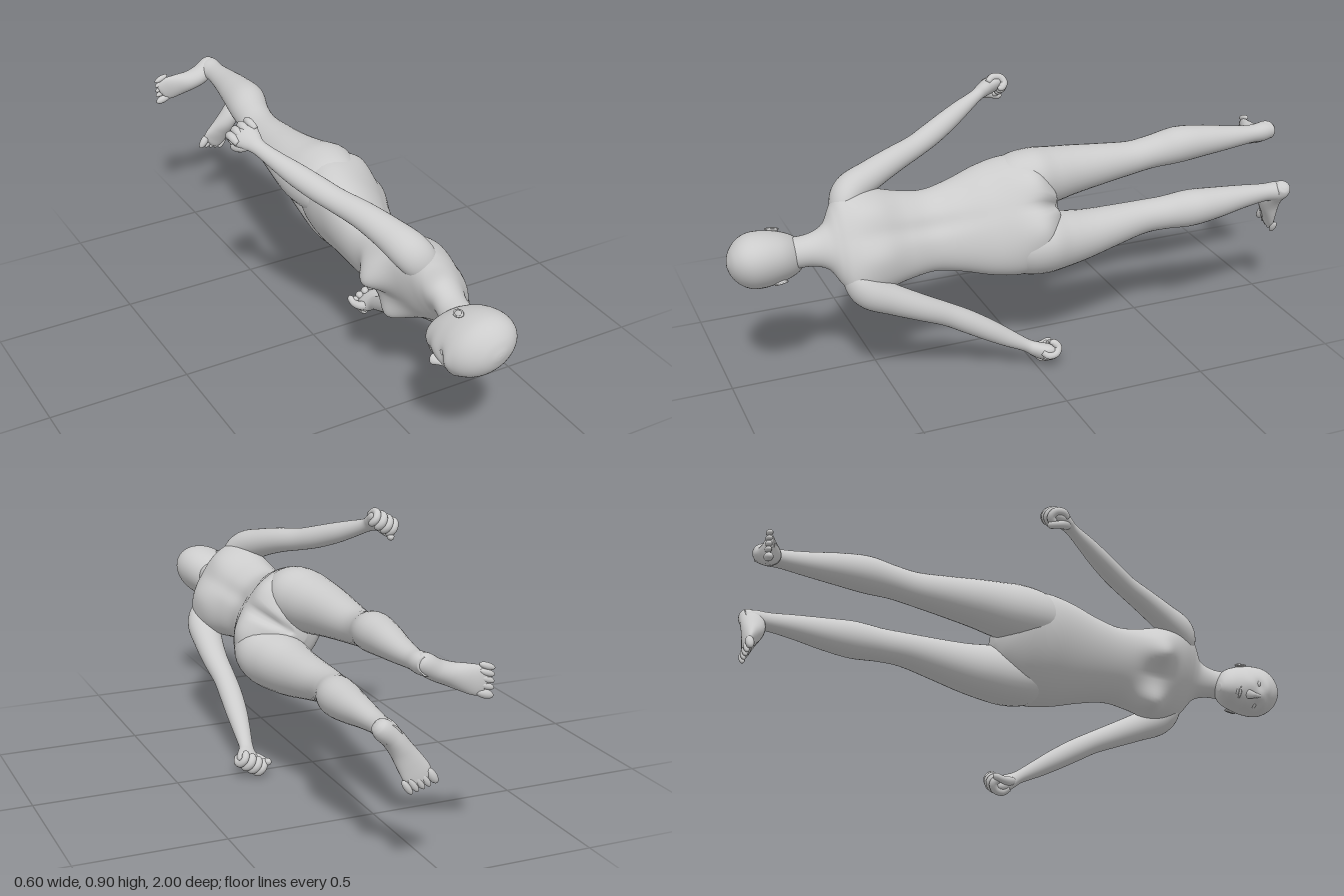
import * as THREE from 'three';

const material = new THREE.MeshStandardMaterial({ color: 0xcccccc });
const UP = new THREE.Vector3(0, 1, 0), DOWN = new THREE.Vector3(0, -1, 0), FRONT = new THREE.Vector3(0, 0, 1);

// Smooth skin over elliptical sections [x, y, z, radiusAcross, radiusAlongRef].
// With a fixed axis all sections stay parallel; otherwise they follow the path.
function loft(name, rows, { ref = FRONT, axis = null, m = 1, rings = 48, segs = 32, rule = null } = {}) {
  const path = new THREE.CatmullRomCurve3(rows.map(r => new THREE.Vector3(r[0] * m, r[1], r[2])), false, 'catmullrom');
  const size = new THREE.CatmullRomCurve3(rows.map(r => new THREE.Vector3(r[3], r[4], 0)), false, 'catmullrom');
  const pos = [], index = [];
  for (let i = 0; i <= rings; i++) {
    const t = i / rings, c = path.getPoint(t), s = size.getPoint(t);
    const T = axis || path.getTangent(t);
    const side = new THREE.Vector3().crossVectors(T, ref).normalize();
    const other = new THREE.Vector3().crossVectors(T, side).normalize();
    for (let j = 0; j < segs; j++) {
      const a = j / segs * Math.PI * 2;
      const v = c.clone().addScaledVector(side, s.x * Math.cos(a)).addScaledVector(other, s.y * Math.sin(a));
      if (rule) rule(v, c);
      pos.push(v.x, v.y, v.z);
      if (i < rings) {
        const k = (j + 1) % segs, p = i * segs, q = p + segs;
        index.push(p + j, p + k, q + k, p + j, q + k, q + j);
      }
    }
  }
  // end caps
  const first = path.getPoint(0), last = path.getPoint(1), n = pos.length / 3;
  pos.push(first.x, first.y, first.z, last.x, last.y, last.z);
  for (let j = 0; j < segs; j++) {
    const k = (j + 1) % segs, q = rings * segs;
    index.push(n, k, j, n + 1, q + j, q + k);
  }
  const g = new THREE.BufferGeometry();
  g.setAttribute('position', new THREE.Float32BufferAttribute(pos, 3));
  g.setIndex(index);
  g.computeVertexNormals();
  const mesh = new THREE.Mesh(g, material);
  mesh.name = name;
  return mesh;
}

function ellipsoid(name, [x, y, z], [rx, ry, rz], yaw = 0) {
  const mesh = new THREE.Mesh(new THREE.SphereGeometry(1, 20, 14), material);
  mesh.name = name;
  mesh.position.set(x, y, z);
  mesh.scale.set(rx, ry, rz);
  mesh.rotation.y = yaw;
  return mesh;
}

const bump = (x, y, cx, cy, wx, wy) => Math.exp(-(((x - cx) / wx) ** 2) - ((y - cy) / wy) ** 2);

// Breasts, buttocks, cleft and spine groove
function shapeTorso(v, c) {
  const x = Math.abs(v.x), depth = v.z - c.z;
  if (depth > 0) {
    v.z += Math.min(1, depth / 0.05) * 0.06 * bump(x, v.y, 0.098, 1.465, 0.06, 0.06);
  } else {
    const w = Math.min(1, -depth / 0.05);
    v.z -= w * (0.022 * bump(x, v.y, 0.09, 0.98, 0.07, 0.07) + 0.01 * bump(x, v.y, 0.08, 1.53, 0.05, 0.08));
    v.z += w * (0.035 * bump(x, v.y, 0, 0.91, 0.016, 0.07) + 0.009 * bump(x, v.y, 0, 1.35, 0.03, 0.18));
  }
}

// Eye sockets, brow and cheeks
function shapeFace(v, c) {
  if (v.z < c.z) return;
  const x = Math.abs(v.x);
  v.z += 0.005 * bump(x, v.y, 0.035, 1.9, 0.03, 0.014) - 0.011 * bump(x, v.y, 0.036, 1.868, 0.02, 0.014)
    + 0.005 * bump(x, v.y, 0.045, 1.825, 0.025, 0.025);
}

function makeHead() {
  const head = new THREE.Group();
  head.name = 'head';
  head.add(loft('skull', [
    [0, 1.73, 0.088, 0.012, 0.015], [0, 1.74, 0.078, 0.034, 0.04], [0, 1.76, 0.062, 0.055, 0.07],
    [0, 1.79, 0.046, 0.071, 0.092], [0, 1.83, 0.036, 0.083, 0.111], [0, 1.88, 0.03, 0.092, 0.121],
    [0, 1.925, 0.024, 0.09, 0.116], [0, 1.96, 0.018, 0.073, 0.096], [0, 1.985, 0.014, 0.046, 0.063],
    [0, 1.997, 0.012, 0.018, 0.026], [0, 2, 0.012, 0.003, 0.004]
  ], { axis: UP, segs: 56, rings: 64, rule: shapeFace }));
  head.add(loft('nose', [
    [0, 1.88, 0.14, 0.007, 0.008], [0, 1.855, 0.146, 0.009, 0.013], [0, 1.834, 0.152, 0.014, 0.019],
    [0, 1.822, 0.15, 0.016, 0.017], [0, 1.815, 0.146, 0.006, 0.008]
  ], { axis: DOWN, segs: 20, rings: 20 }));
  head.add(ellipsoid('upperLip', [0, 1.794, 0.132], [0.024, 0.006, 0.011]));
  head.add(ellipsoid('lowerLip', [0, 1.783, 0.128], [0.02, 0.007, 0.011]));
  for (const m of [-1, 1]) {
    head.add(ellipsoid('eye', [0.036 * m, 1.866, 0.12], [0.016, 0.011, 0.014]));
    const ear = new THREE.Group();
    ear.name = 'ear';
    ear.add(ellipsoid('earShell', [0, 0, 0], [0.006, 0.022, 0.013]));
    const rim = new THREE.Mesh(new THREE.TorusGeometry(0.013, 0.003, 8, 24), material);
    rim.name = 'earRim';
    rim.scale.set(0.9, 1.5, 1);
    rim.rotation.y = Math.PI / 2;
    rim.position.x = 0.003 * m;
    ear.add(rim);
    ear.position.set(0.086 * m, 1.838, 0.014);
    ear.rotation.set(-0.15, -0.08 * m, 0.15 * -m);
    head.add(ear);
  }
  head.position.z = 0.012;
  return head;
}

function makeArm(m) {
  const arm = new THREE.Group();
  arm.name = m > 0 ? 'leftArm' : 'rightArm';
  arm.add(loft('armSkin', [
    [0.06, 1.615, -0.012, 0.02, 0.03], [0.12, 1.603, -0.011, 0.045, 0.058], [0.168, 1.568, -0.007, 0.056, 0.063],
    [0.208, 1.49, 0.003, 0.05, 0.054], [0.248, 1.40, 0.02, 0.044, 0.046], [0.285, 1.31, 0.045, 0.039, 0.041],
    [0.32, 1.24, 0.064, 0.039, 0.041], [0.362, 1.165, 0.083, 0.036, 0.038], [0.4, 1.10, 0.098, 0.03, 0.031],
    [0.437, 1.035, 0.11, 0.022, 0.026], [0.455, 1.005, 0.113, 0.025, 0.037], [0.468, 0.978, 0.115, 0.028, 0.048],
    [0.474, 0.952, 0.116, 0.024, 0.046], [0.476, 0.938, 0.116, 0.01, 0.03]
  ], { m, rings: 80 }));
  // curled fingers and thumb
  for (let i = 0; i < 4; i++) {
    const z = 0.077 + 0.025 * i, r = i ? 0.0145 : 0.0125, lift = Math.abs(i - 1.7) * 0.004;
    arm.add(loft('finger', [
      [0.474, 0.985 + lift, z, r * 0.8, r * 0.8], [0.489, 0.965 + lift, z, r, r], [0.486, 0.938 + lift, z, r, r],
      [0.466, 0.926 + lift, z, r, r], [0.449, 0.938 + lift, z, r, r], [0.446, 0.952 + lift, z, r * 0.5, r * 0.5]
    ], { m, rings: 24, segs: 14 }));
  }
  arm.add(loft('thumb', [
    [0.45, 1.01, 0.13, 0.012, 0.012], [0.45, 0.985, 0.151, 0.016, 0.016], [0.445, 0.957, 0.163, 0.013, 0.013],
    [0.438, 0.932, 0.16, 0.012, 0.012], [0.434, 0.922, 0.157, 0.004, 0.004]
  ], { m, rings: 24, segs: 14 }));
  return arm;
}

function makeFoot(m) {
  const foot = new THREE.Group();
  foot.name = 'foot';
  foot.add(loft('footSkin', [
    [-0.002, 0.034, -0.047, 0.008, 0.01], [-0.001, 0.034, -0.038, 0.024, 0.025], [0.001, 0.035, -0.015, 0.033, 0.034],
    [0.005, 0.043, 0.03, 0.034, 0.042], [0.018, 0.04, 0.075, 0.036, 0.039], [0.036, 0.028, 0.12, 0.043, 0.027],
    [0.05, 0.019, 0.155, 0.046, 0.018], [0.058, 0.015, 0.178, 0.037, 0.012], [0.06, 0.014, 0.188, 0.015, 0.006]
  ], { ref: UP, m, rings: 48 }));
  for (let i = 0; i < 5; i++) {
    const r = i ? 0.0105 : 0.0145;
    foot.add(ellipsoid('toe', [(0.03 + 0.016 * i + (i ? 0.005 : 0)) * m, r, 0.196 - 0.012 * i],
      [r, r, i ? 0.028 : 0.032], 0.3 * m));
  }
  return foot;
}

// The legs hang slightly to the right of the trunk
const SWAY = 0.03;

function makeLeg(m) {
  const leg = new THREE.Group();
  leg.name = m > 0 ? 'leftLeg' : 'rightLeg';
  const skin = loft('legSkin', [
    [0.1, 1.1, -0.005, 0.06, 0.08], [0.109, 1.03, -0.01, 0.094, 0.112], [0.112, 0.95, -0.012, 0.103, 0.126],
    [0.112, 0.87, 0, 0.097, 0.113], [0.113, 0.78, 0.006, 0.085, 0.095], [0.109, 0.67, 0.006, 0.071, 0.078],
    [0.105, 0.56, 0.004, 0.059, 0.066], [0.109, 0.48, -0.01, 0.058, 0.064], [0.113, 0.39, -0.032, 0.064, 0.073],
    [0.112, 0.29, -0.04, 0.055, 0.062], [0.108, 0.19, -0.044, 0.042, 0.048], [0.107, 0.1, -0.044, 0.032, 0.038],
    [0.109, 0.05, -0.042, 0.034, 0.042], [0.11, 0.015, -0.04, 0.028, 0.038]
  ], {
    axis: DOWN, m, rings: 80,
    rule: v => { v.x -= SWAY * THREE.MathUtils.smoothstep(1 - v.y, 0, 0.65); }
  });
  const foot = makeFoot(m);
  foot.position.set(0.11 * m - SWAY, 0, m > 0 ? -0.045 : -0.03);
  foot.rotation.y = 0.12;
  leg.add(skin, foot);
  return leg;
}

export function createModel() {
  const figure = new THREE.Group();
  figure.name = 'figure';
  figure.add(loft('torso', [
    [0, 0.87, -0.005, 0.03, 0.03], [0, 0.9, -0.01, 0.11, 0.09], [0, 0.96, -0.014, 0.19, 0.127],
    [0, 1.04, -0.01, 0.203, 0.134], [0, 1.13, 0.004, 0.188, 0.119], [0, 1.23, 0.024, 0.156, 0.102],
    [0, 1.32, 0.034, 0.138, 0.093], [0, 1.41, 0.026, 0.148, 0.098], [0, 1.5, 0.008, 0.168, 0.105],
    [0, 1.57, -0.004, 0.178, 0.098], [0, 1.62, -0.011, 0.167, 0.081], [0, 1.65, -0.01, 0.127, 0.067],
    [0, 1.68, -0.003, 0.076, 0.057], [0, 1.73, 0.013, 0.054, 0.053], [0, 1.8, 0.026, 0.051, 0.055]
  ], { axis: UP, rings: 110, segs: 80, rule: shapeTorso }));
  figure.add(makeHead());
  for (const m of [-1, 1]) figure.add(makeArm(m), makeLeg(m));

  // Lay the standing figure along z, head to the front, rolled part way onto its side
  const c = 0.854, s = 0.52;
  const frame = new THREE.Matrix4().makeBasis(
    new THREE.Vector3(s, -c, 0).normalize(), new THREE.Vector3(0, 0, 1), new THREE.Vector3(-c, -s, 0).normalize());
  figure.quaternion.setFromRotationMatrix(frame);
  figure.position.set(0.103, 0.52, -1);
  const model = new THREE.Group();
  model.name = 'lyingFigure';
  model.add(figure);
  return model;
}
